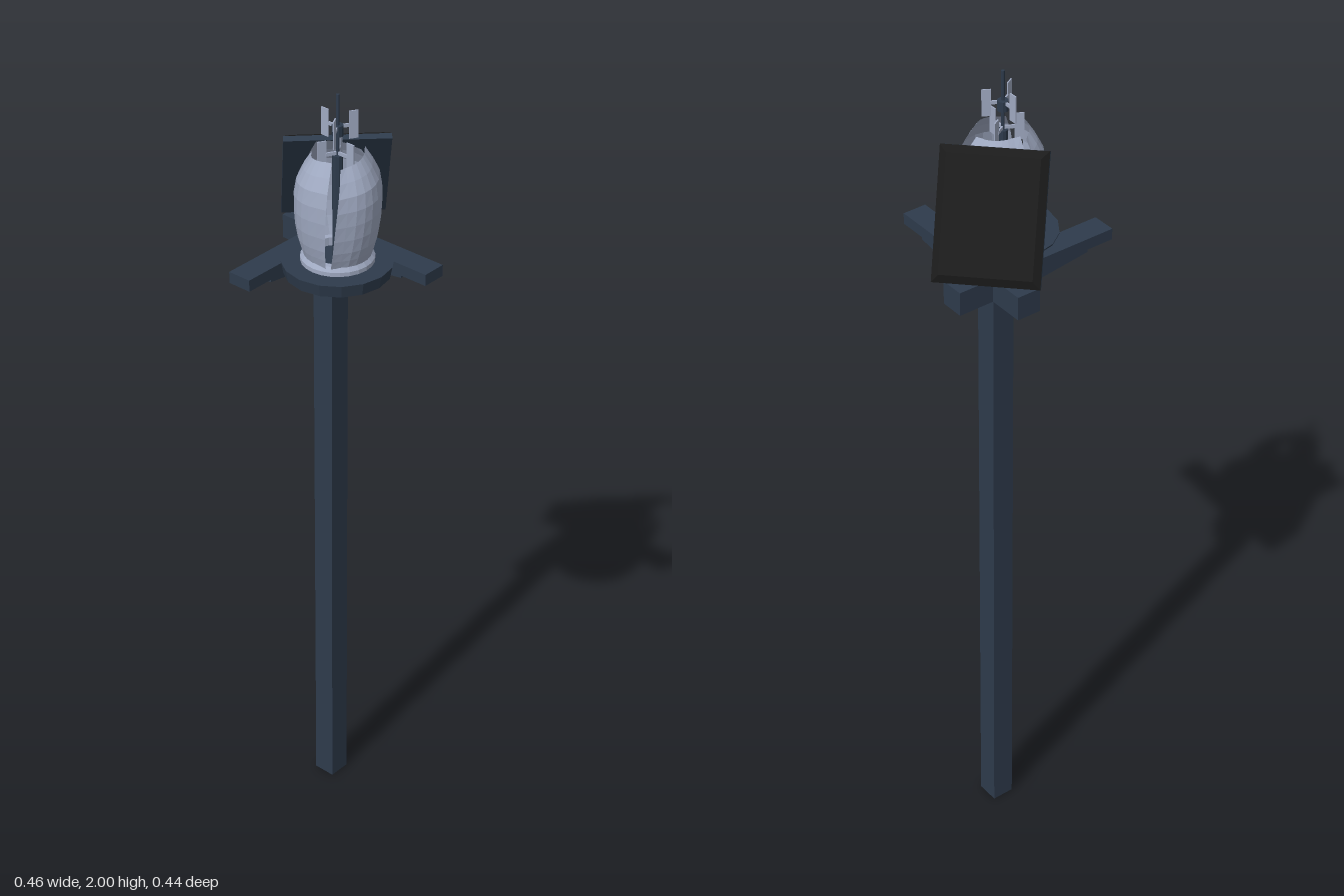
import * as THREE from 'three';

const mat = (name, color, side = THREE.FrontSide) => {
  const m = new THREE.MeshStandardMaterial({ color, side, flatShading: true });
  m.name = name;
  return m;
};

export function createModel() {
  const navy = mat('navy steel', 0x2e3b4c);
  const black = mat('black solar cell', 0x1b1b1b);
  const silver = mat('silver blue', 0xa0aac2, THREE.DoubleSide);
  const root = new THREE.Group();
  root.name = 'windAndSolarPole';

  const add = (parent, name, geometry, material, x = 0, y = 0, z = 0) => {
    const mesh = new THREE.Mesh(geometry, material);
    mesh.name = name;
    mesh.position.set(x, y, z);
    parent.add(mesh);
    return mesh;
  };
  const box = (parent, name, x0, x1, y0, y1, z0, z1, material = navy) =>
    add(parent, name, new THREE.BoxGeometry(x1 - x0, y1 - y0, z1 - z0), material,
      (x0 + x1) / 2, (y0 + y1) / 2, (z0 + z1) / 2);
  const outline = (points) => new THREE.Shape(points.map(([x, y]) => new THREE.Vector2(x, y)));

  // Pole and the block that braces the two arms
  const px = 0.075, pz = -0.085;
  box(root, 'pole', px - 0.028, px + 0.028, 0, 1.585, pz - 0.028, pz + 0.028);
  box(root, 'cornerBlock', -0.02, 0.046, 1.51, 1.576, -0.05, 0.018);

  // Two tapered arms at a right angle, each with a short stub behind the pole
  const armShape = outline([[-0.12, 1.535], [0.04, 1.535], [0.235, 1.56], [0.235, 1.566],
    [0.305, 1.566], [0.305, 1.594], [-0.12, 1.594]]);
  for (const [name, turn] of [['leftwardArm', Math.PI], ['frontArm', -Math.PI / 2]]) {
    const geo = new THREE.ExtrudeGeometry(armShape, { depth: 0.06, bevelEnabled: false });
    geo.translate(0, 0, -0.03);
    add(root, name, geo, navy, px, 0, pz).rotation.y = turn;
  }

  // Platform and wind turbine share one axis
  const turbine = new THREE.Group();
  turbine.name = 'windTurbine';
  turbine.position.set(-0.032, 0, 0.03);
  root.add(turbine);
  add(turbine, 'platform', new THREE.CylinderGeometry(0.128, 0.122, 0.03, 16), navy, 0, 1.583, 0);
  const ring = [[0.062, 1.597], [0.084, 1.597], [0.084, 1.608], [0.076, 1.618], [0.062, 1.618], [0.062, 1.597]];
  add(turbine, 'baseRing', new THREE.LatheGeometry(ring.map(([r, y]) => new THREE.Vector2(r, y)), 24), silver);

  // Three curved blades: a plane wrapped around a bulging profile with a slight twist
  const profile = new THREE.CatmullRomCurve3([[0.076, 1.615], [0.089, 1.66], [0.097, 1.73],
    [0.091, 1.8], [0.058, 1.858]].map(([r, y]) => new THREE.Vector3(r, y, 0)));
  const bladeGeo = new THREE.PlaneGeometry(1, 1, 8, 8);
  const pos = bladeGeo.attributes.position;
  for (let i = 0; i < pos.count; i++) {
    const u = pos.getX(i), v = pos.getY(i) + 0.5;
    const p = profile.getPoint(v);
    const angle = u * (1.95 - 0.15 * v) - 0.06 + 0.2 * v;
    const r = p.x + (Math.abs(u) > 0.49 ? 0.005 : 0);
    pos.setXYZ(i, Math.sin(angle) * r, p.y + u * 0.016 * v, Math.cos(angle) * r);
  }
  bladeGeo.computeVertexNormals();
  for (let i = 0; i < 3; i++) {
    add(turbine, 'blade', bladeGeo, silver).rotation.y = i * Math.PI * 2 / 3;
  }

  // Mast with two tiers of thin radial vanes
  add(turbine, 'mastBase', new THREE.CylinderGeometry(0.012, 0.012, 0.26, 10), navy, 0, 1.725, 0);
  add(turbine, 'mast', new THREE.CylinderGeometry(0.004, 0.004, 0.16, 8), navy, 0, 1.92, 0);
  add(turbine, 'vaneHub', new THREE.CylinderGeometry(0.013, 0.013, 0.025, 10), navy, 0, 1.915, 0);
  for (let i = 0; i < 6; i++) {
    const vane = new THREE.Group();
    vane.name = 'vane';
    vane.rotation.y = Math.PI / 6 + i * Math.PI / 3;
    turbine.add(vane);
    const y = i % 2 ? 1.923 : 1.86;
    box(vane, 'vanePlate', 0.026, 0.047, y - 0.033, y + 0.033, -0.0015, 0.0015, silver);
    box(vane, 'vaneSpoke', 0, 0.028, y - 0.004, y + 0.004, -0.002, 0.002, silver);
  }

  // Solar panel group: local +z points diagonally to the back left, local x runs along the panel
  const solar = new THREE.Group();
  solar.name = 'solarPanel';
  solar.rotation.y = Math.PI * 0.75;
  root.add(solar);
  box(solar, 'panelBracket', -0.053, 0.067, 1.59, 1.68, 0.07, 0.138);

  const tilted = new THREE.Group();
  tilted.name = 'tiltedPanel';
  tilted.position.set(-0.004, 1.73, 0.118);
  tilted.rotation.x = -Math.atan2(0.155, 0.262);
  solar.add(tilted);
  box(tilted, 'panelBack', -0.12, 0.12, -0.15, 0.15, -0.012, 0.002);

  // Bevelled black lid: a box whose outer face is drawn in
  const lid = new THREE.BoxGeometry(0.24, 0.3, 0.014);
  const lp = lid.attributes.position;
  for (let i = 0; i < lp.count; i++) {
    if (lp.getZ(i) > 0) lp.setXY(i, lp.getX(i) * 0.86, lp.getY(i) * 0.88);
  }
  lid.computeVertexNormals();
  add(tilted, 'panelFace', lid, black, 0, 0, 0.009);

  return root;
}
